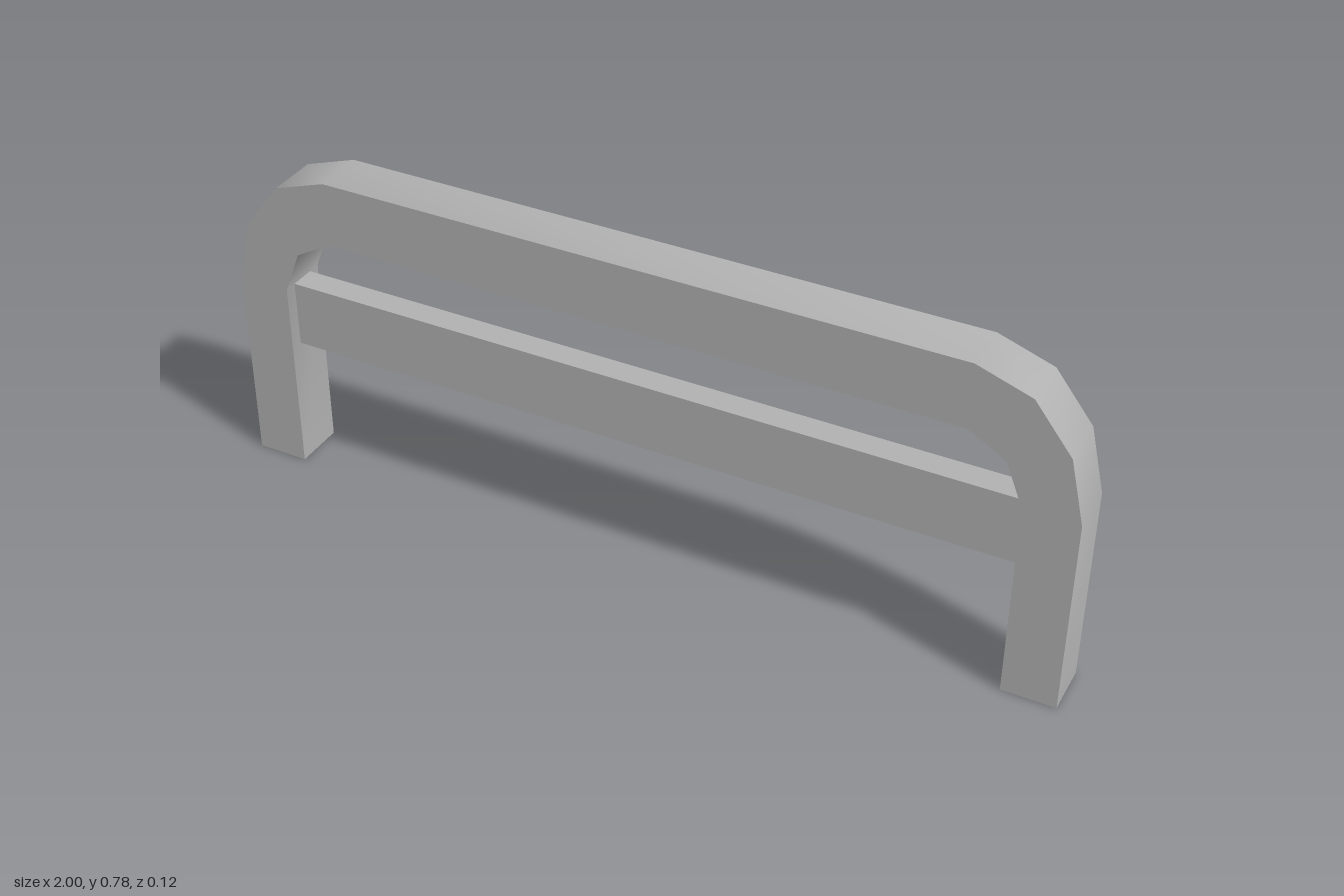
import * as THREE from 'three';
import { toCreasedNormals } from 'three/addons/utils/BufferGeometryUtils.js';

export function createModel() {
  const model = new THREE.Group();
  model.name = 'barrierRail';
  const grey = new THREE.MeshStandardMaterial({ color: 0xb0b0b0 });
  grey.name = 'grey';

  // Half outline of the hoop, from the outer foot over the bend to the inner foot
  const outer = [[1, 0], [1, 0.476], [0.964, 0.627], [0.876, 0.739], [0.75, 0.782]];
  const inner = [[0.75, 0.628], [0.835, 0.578], [0.876, 0.476], [0.876, 0]];
  const mirror = (points) => points.map(([x, y]) => [-x, y]).reverse();
  const outline = [...outer, ...mirror(outer), ...mirror(inner), ...inner];

  // Bent hoop with two legs
  const depth = 0.123;
  const shape = new THREE.Shape(outline.map(([x, y]) => new THREE.Vector2(x, y)));
  const hoopGeometry = new THREE.ExtrudeGeometry(shape, { depth, bevelEnabled: false });
  hoopGeometry.translate(0, 0, -depth / 2);
  const hoop = new THREE.Mesh(toCreasedNormals(hoopGeometry, 0.75), grey);
  hoop.name = 'hoop';
  model.add(hoop);

  // Thinner crossbar between the legs
  const crossbar = new THREE.Mesh(new THREE.BoxGeometry(1.752, 0.16, 0.062), grey);
  crossbar.name = 'crossbar';
  crossbar.position.y = 0.395;
  model.add(crossbar);

  return model;
}
